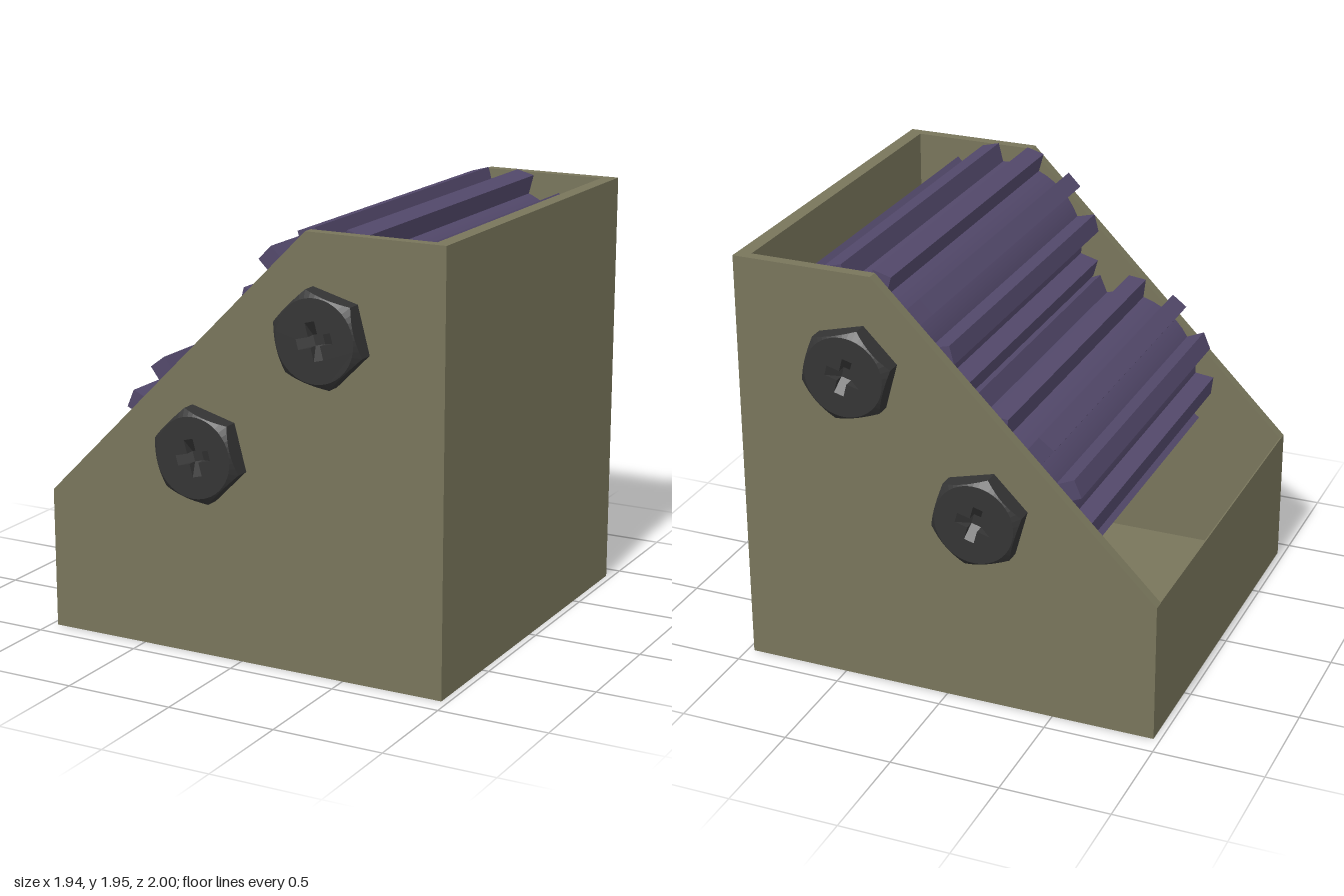
import * as THREE from 'three';
import { mergeGeometries } from 'three/addons/utils/BufferGeometryUtils.js';

const mat = (color, extra = {}) => new THREE.MeshStandardMaterial({ color, ...extra });
const olive = mat(0x78755b, { flatShading: true });
const purple = mat(0x52486a);
const steel = mat(0x343434, { flatShading: true, side: THREE.DoubleSide });

function add(parent, name, geometry, material, x = 0, y = 0, z = 0) {
  const mesh = new THREE.Mesh(geometry, material);
  mesh.name = name;
  mesh.position.set(x, y, z);
  parent.add(mesh);
  return mesh;
}

// Open-topped hopper: two sloped side plates, a tall wall, a low lip and a floor
function makeHousing() {
  const g = new THREE.Group();
  g.name = 'housing';
  const profile = new THREE.Shape([[-0.97, 0], [0.97, 0], [0.97, 1.94], [0.325, 1.94], [-0.97, 0.645]]
    .map(([x, y]) => new THREE.Vector2(x, y)));
  const plate = new THREE.ExtrudeGeometry(profile, { depth: 0.05, bevelEnabled: false });
  add(g, 'frontPlate', plate, olive, 0, 0, 0.855);
  add(g, 'backPlate', plate, olive, 0, 0, -0.905);
  add(g, 'tallWall', new THREE.BoxGeometry(0.065, 1.94, 1.71), olive, 0.9375, 0.97);
  add(g, 'lowLip', new THREE.BoxGeometry(0.006, 0.648, 1.71), olive, -0.967, 0.324);
  add(g, 'floor', new THREE.BoxGeometry(1.869, 0.02, 1.71), olive, -0.0295, 0.01);
  return g;
}

// Roller with twelve straight teeth
function makeRoller(phaseDegrees) {
  const g = new THREE.Group();
  g.name = 'roller';
  const length = 1.69, core = 0.36, tip = 0.448;
  add(g, 'rollerCore', new THREE.CylinderGeometry(core, core, length, 48).rotateX(Math.PI / 2), purple);
  const inner = core - 0.03;
  const tooth = new THREE.BoxGeometry(tip - inner, 0.086, length).translate((tip + inner) / 2, 0, 0);
  for (let i = 0; i < 12; i++) {
    add(g, 'rollerTooth', tooth, purple).rotation.z = THREE.MathUtils.degToRad(phaseDegrees + i * 30);
  }
  return g;
}

// Chamfered hexagonal bolt head with a cross recess, pointing along +z
function boltHeadGeometry() {
  const height = 0.095, cap = 0.182, corner = 0.216, n = 48;
  const half = 0.023, reach = 0.083, depth = 0.045;
  const pos = [];
  const quad = (a, b, c, d) => pos.push(...a, ...b, ...c, ...a, ...c, ...d);
  const ring = (i, level) => {
    const t = (i / n) * Math.PI * 2;
    const local = (t % (Math.PI / 3) + Math.PI / 3) % (Math.PI / 3);
    // Flat centred on 0 degrees, corners at 30 + 60k
    const off = local > Math.PI / 6 ? local - Math.PI / 3 : local;
    const hex = corner * Math.cos(Math.PI / 6) / Math.cos(off);
    const r = level === 2 ? cap : hex;
    const z = level === 0 ? 0 : level === 1 ? height - (hex - cap) * 0.85 : height;
    return [r * Math.cos(t), r * Math.sin(t), z];
  };
  for (let i = 0; i < n; i++) {
    for (let k = 0; k < 2; k++) quad(ring(i, k), ring(i + 1, k), ring(i + 1, k + 1), ring(i, k + 1));
  }

  // Recess: four arms ramping down to a small square
  const low = height - depth, cross = [];
  for (let k = 0; k < 4; k++) {
    const c = Math.round(Math.cos(k * Math.PI / 2)), s = Math.round(Math.sin(k * Math.PI / 2));
    const p = (x, y, z) => [x * c - y * s, x * s + y * c, z];
    const a = p(reach, -half, height), b = p(reach, half, height);
    const d = p(half, half, low), e = p(half, -half, low);
    quad(a, b, d, e);
    pos.push(...b, ...p(half, half, height), ...d);
    pos.push(...a, ...e, ...p(half, -half, height));
    for (const v of [a, b, p(half, half, height)]) cross.push(new THREE.Vector2(v[0], v[1]));
  }
  quad([-half, -half, low], [half, -half, low], [half, half, low], [-half, half, low]);

  const sides = new THREE.BufferGeometry();
  sides.setAttribute('position', new THREE.Float32BufferAttribute(pos, 3));
  sides.computeVertexNormals();

  // Top face with the cross cut out
  const rim = Array.from({ length: n }, (_, i) => new THREE.Vector2(...ring(i, 2).slice(0, 2)));
  const face = new THREE.Shape(rim);
  face.holes.push(new THREE.Path(cross));
  const top = new THREE.ShapeGeometry(face).toNonIndexed().translate(0, 0, height);
  top.deleteAttribute('uv');
  return mergeGeometries([sides, top]);
}

export function createModel() {
  const model = new THREE.Group();
  model.name = 'rollerCrusher';
  model.add(makeHousing());

  const bolt = boltHeadGeometry();
  const spin = THREE.MathUtils.degToRad(15);
  // Each roller sits on an axle held by a bolt at both ends
  for (const [x, y, phase] of [[-0.175, 0.925, 6.8], [0.418, 1.505, 15.5]]) {
    const roller = makeRoller(phase);
    roller.position.set(x, y, 0);
    model.add(roller);
    add(model, 'frontBolt', bolt, steel, x, y, 0.905).rotation.z = spin;
    add(model, 'backBolt', bolt, steel, x, y, -0.905).rotation.set(0, Math.PI, -spin);
  }
  return model;
}
